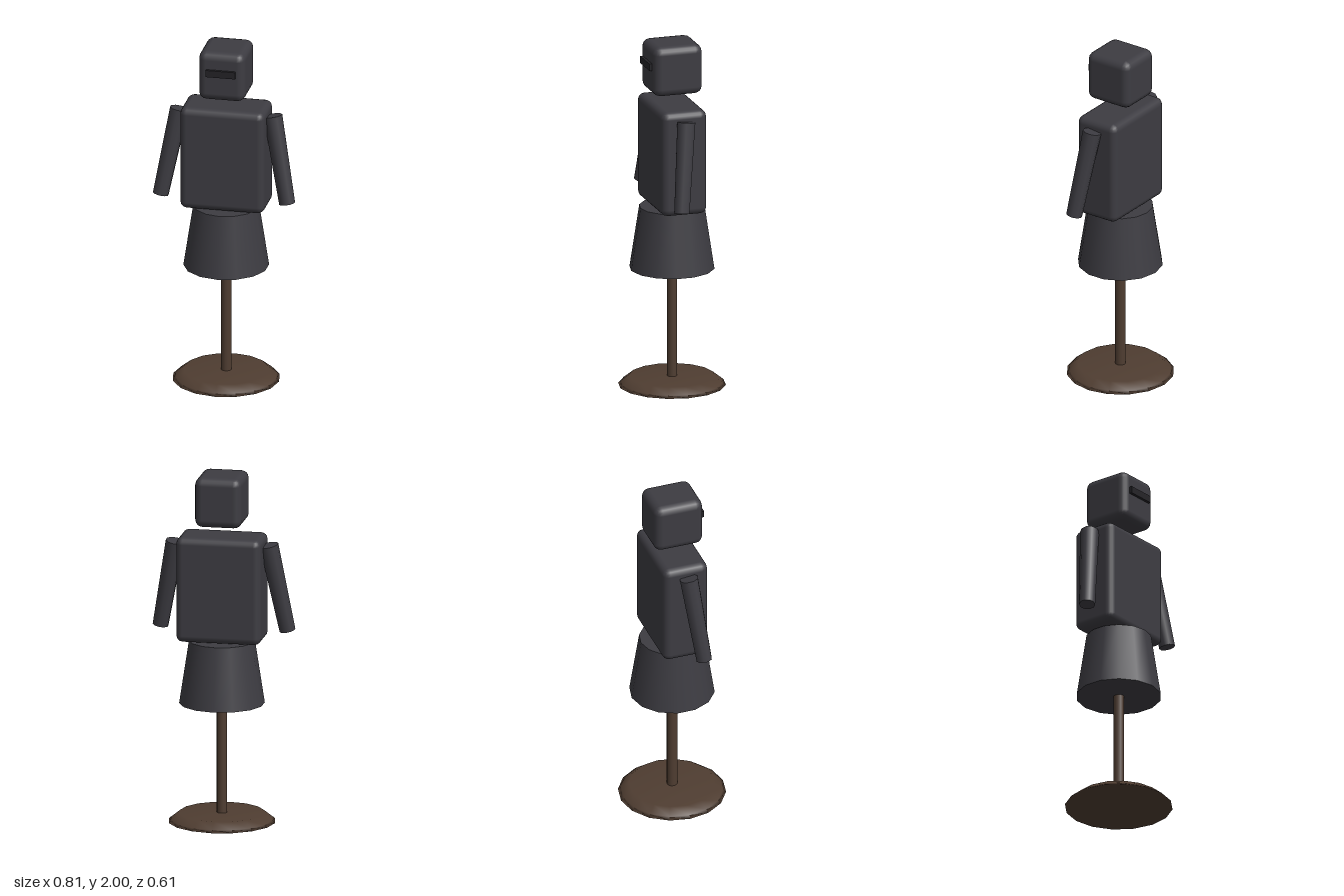
import * as THREE from 'three';
import { RoundedBoxGeometry } from 'three/addons/geometries/RoundedBoxGeometry.js';

const cloth = new THREE.MeshStandardMaterial({ color: 0x3d3c42 });
const slitDark = new THREE.MeshStandardMaterial({ color: 0x242327 });
const wood = new THREE.MeshStandardMaterial({ color: 0x4f3d31 });

export function createModel() {
  const model = new THREE.Group();
  model.name = 'dummyOnStand';

  const add = (name, geometry, material, x = 0, y = 0, z = 0) => {
    const mesh = new THREE.Mesh(geometry, material);
    mesh.name = name;
    mesh.position.set(x, y, z);
    model.add(mesh);
    return mesh;
  };

  // Stand: bevelled round base and a thin post
  const profile = [[0, 0], [0.303, 0], [0.285, 0.014], [0.24, 0.05], [0, 0.05]]
    .map(([r, y]) => new THREE.Vector2(r, y));
  add('base', new THREE.LatheGeometry(profile, 16), wood);
  add('post', new THREE.CylinderGeometry(0.03, 0.03, 0.67, 12), wood, 0, 0.375, 0);

  // Body: flared skirt, padded torso and floating head
  add('skirt', new THREE.CylinderGeometry(0.185, 0.24, 0.36, 14), cloth, 0, 0.86, 0);
  add('torso', new RoundedBoxGeometry(0.484, 0.605, 0.266, 2, 0.04), cloth, 0, 1.347, 0);
  add('head', new RoundedBoxGeometry(0.266, 0.287, 0.288, 2, 0.045), cloth, 0, 1.8565, 0);
  add('eyeSlit', new THREE.BoxGeometry(0.17, 0.04, 0.04), slitDark, 0, 1.883, 0.14);

  // Arms: tapered cylinders hanging outward and forward
  for (const side of [1, -1]) {
    const shoulder = new THREE.Vector3(side * 0.268, 1.6, 0.003);
    const wrist = new THREE.Vector3(side * 0.362, 1.1, 0.06);
    const axis = shoulder.clone().sub(wrist);
    const arm = add(side > 0 ? 'leftArm' : 'rightArm',
      new THREE.CylinderGeometry(0.053, 0.045, axis.length(), 10), cloth);
    arm.position.copy(shoulder).add(wrist).multiplyScalar(0.5);
    arm.quaternion.setFromUnitVectors(new THREE.Vector3(0, 1, 0), axis.normalize());
  }

  return model;
}
